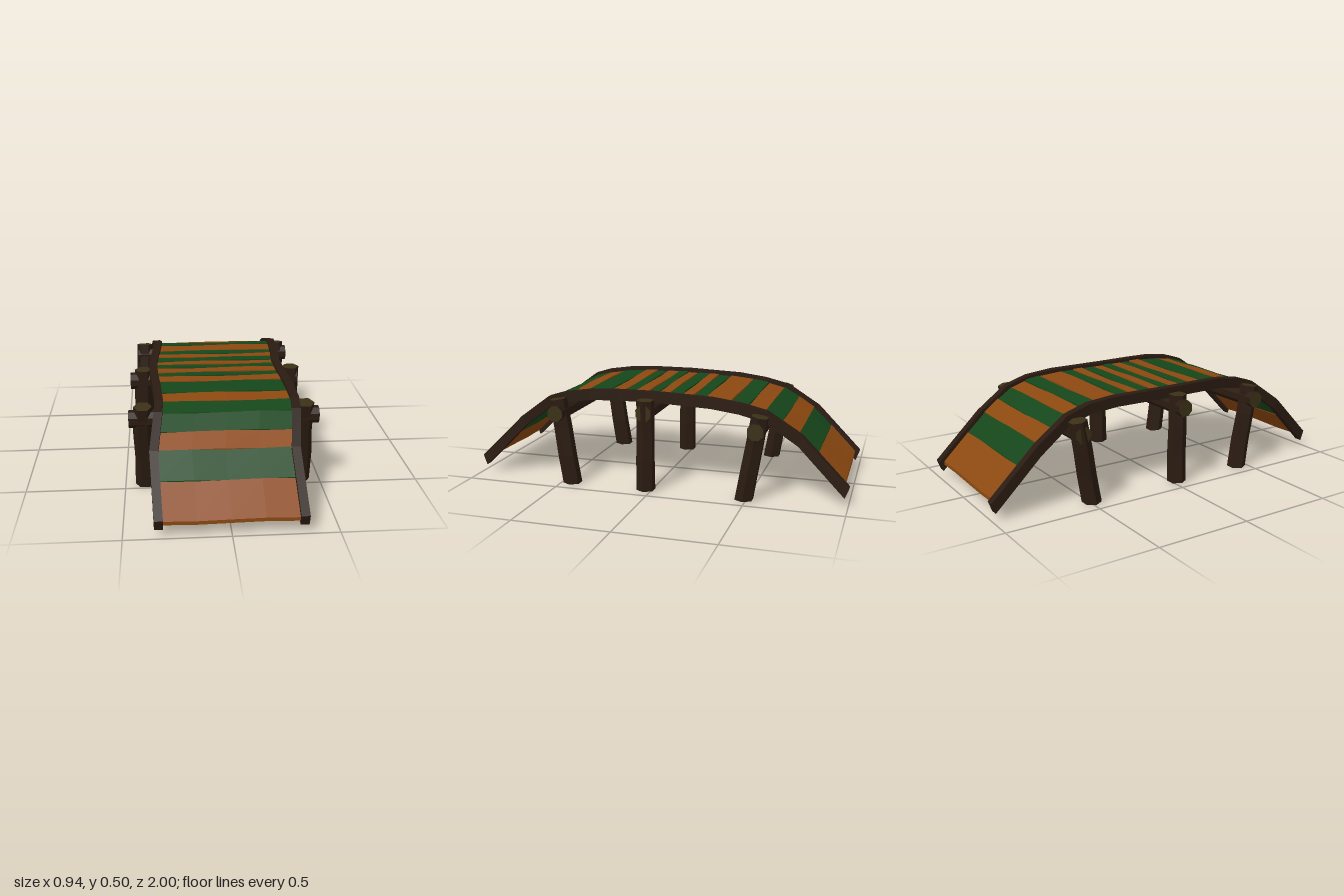
import * as THREE from 'three';

const mat = (color) => new THREE.MeshStandardMaterial({ color, flatShading: true });

// Arch line of the bridge: z, height, sideways sway
const PATH = [
  [-0.99, 0.063, 0], [-0.75, 0.305, -0.013], [-0.58, 0.42, 0.006], [-0.45, 0.455, 0.02],
  [-0.3, 0.472, 0.011], [0, 0.478, -0.012], [0.2, 0.478, -0.006], [0.35, 0.474, 0.006],
  [0.5, 0.452, 0.015], [0.58, 0.425, 0.01], [0.75, 0.3, -0.014], [0.99, 0.063, 0],
];

// Height and sway of the arch at any z
function archAt(z) {
  let i = 0;
  while (i < PATH.length - 2 && z > PATH[i + 1][0]) i++;
  const [a, b] = [PATH[i], PATH[i + 1]];
  const t = (z - a[0]) / (b[0] - a[0]);
  return { y: a[1] + (b[1] - a[1]) * t, sway: a[2] + (b[2] - a[2]) * t };
}

function bend(geometry, rule) {
  const p = geometry.attributes.position;
  for (let i = 0; i < p.count; i++) p.setXYZ(i, ...rule(p.getX(i), p.getY(i), p.getZ(i)));
  geometry.computeVertexNormals();
  return geometry;
}

export function createModel() {
  const bridge = new THREE.Group();
  bridge.name = 'footbridge';
  const wood = mat(0x2a1b11), cut = mat(0x3a3016);
  const orange = mat(0x8c4810), green = mat(0x15461a);

  const add = (name, geometry, material) => {
    const mesh = new THREE.Mesh(geometry, material);
    mesh.name = name;
    bridge.add(mesh);
    return mesh;
  };

  // Side rails following the arch
  const n = PATH.length - 1;
  for (const side of [-1, 1]) {
    const rail = bend(new THREE.BoxGeometry(0.042, 0.054, 1, 1, 1, n), (x, y, z) => {
      const k = Math.round((z + 0.5) * n);
      const [pz, py, sway] = PATH[k];
      const a = PATH[Math.max(k - 1, 0)], b = PATH[Math.min(k + 1, n)];
      const slope = (b[1] - a[1]) / (b[0] - a[0]);
      return [side * 0.335 + sway + x, py + y, pz - y * slope * 0.37];
    });
    add(side < 0 ? 'rightRail' : 'leftRail', rail, wood);
  }

  // Deck planks: edges along z, alternating colours with one doubled green
  const edges = [-0.975, -0.835, -0.735, -0.65, -0.565, -0.48, -0.39, -0.255, -0.185, -0.125, -0.055,
    0.005, 0.06, 0.13, 0.19, 0.265, 0.4, 0.49, 0.575, 0.66, 0.74, 0.85, 0.985];
  const gaps = (i) => (i > 4 && i < 17 ? 0.006 : 0.001);
  for (let i = 0; i < edges.length - 1; i++) {
    const z0 = edges[i] + gaps(i), z1 = edges[i + 1];
    const isGreen = i < 18 ? i % 2 === 1 : i % 2 === 0;
    const plank = bend(new THREE.BoxGeometry(0.632, 0.018, 1, 4, 1, 1), (x, y, z) => {
      const pz = z < 0 ? z0 : z1;
      const { y: h, sway } = archAt(pz);
      const wave = 0.003 * Math.sin(x * 11 + i * 2.1);
      return [x + sway, h + y + 0.002 + wave, pz];
    });
    add('plank' + (i + 1), plank, isGreen ? green : orange);
  }

  // Trestles: a cross beam on two leaning posts
  const trestles = [
    { name: 'front', foot: 0.445, head: 0.515, top: 0.452, beamY: 0.385, x0: -0.47, x1: 0.47 },
    { name: 'middle', foot: 0.033, head: 0.033, top: 0.475, beamY: 0.412, x0: -0.47, x1: 0.437 },
    { name: 'back', foot: -0.487, head: -0.558, top: 0.432, beamY: 0.365, x0: -0.44, x1: 0.46 },
  ];
  for (const t of trestles) {
    for (const side of [-1, 1]) {
      const post = new THREE.CylinderGeometry(0.046, 0.05, t.top, 6, 3);
      post.rotateY(Math.PI / 6);
      bend(post, (x, y, z) => {
        const f = y / t.top + 0.5;
        const bulge = 0.004 * Math.sin(f * Math.PI * 2);
        const tilt = -z * (t.head - t.foot) / t.top * f;
        return [side * 0.4 + x + bulge, f * t.top + tilt, t.foot + (t.head - t.foot) * f + z];
      });
      add(t.name + (side < 0 ? 'RightPost' : 'LeftPost'), post, [wood, cut, wood]);
    }
    const beam = new THREE.CylinderGeometry(0.044, 0.044, t.x1 - t.x0, 8);
    beam.rotateY(Math.PI / 8).rotateZ(Math.PI / 2);
    const mesh = add(t.name + 'Beam', beam, [wood, cut, cut]);
    const f = t.beamY / t.top;
    mesh.position.set((t.x0 + t.x1) / 2, t.beamY, t.foot + (t.head - t.foot) * f);
  }
  return bridge;
}
